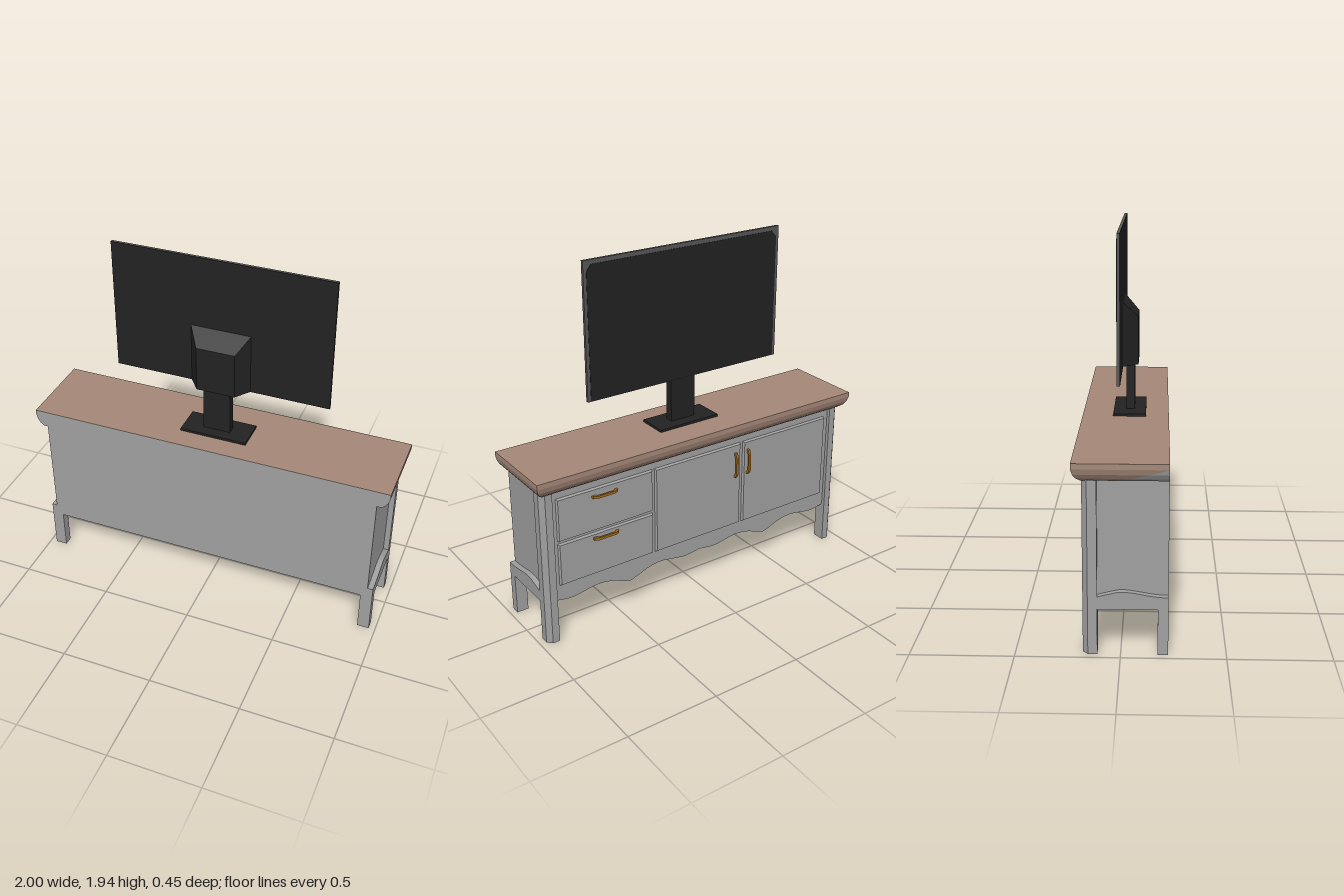
import * as THREE from 'three';

const mat = (name, color, side = THREE.FrontSide) => {
  const m = new THREE.MeshStandardMaterial({ color, side });
  m.name = name;
  return m;
};

export function createModel() {
  const root = new THREE.Group();
  const grey = mat('grey paint', 0xa0a0a0, THREE.DoubleSide);
  const wood = mat('brown wood', 0xa58878, THREE.DoubleSide);
  const black = mat('black plastic', 0x222222);
  const bezel = mat('bezel grey', 0x565656);
  const brass = mat('brass', 0xa56a14);

  const add = (name, geometry, material, parent = root) => {
    const m = new THREE.Mesh(geometry, material);
    m.name = name;
    parent.add(m);
    return m;
  };
  // Box given by its limits on each axis
  const box = (name, material, [x0, x1], [y0, y1], [z0, z1], parent = root) =>
    add(name, new THREE.BoxGeometry(x1 - x0, y1 - y0, z1 - z0)
      .translate((x0 + x1) / 2, (y0 + y1) / 2, (z0 + z1) / 2), material, parent);
  const extrude = (points, depth) => new THREE.ExtrudeGeometry(
    new THREE.Shape(points.map(([x, y]) => new THREE.Vector2(x, y))),
    { depth, bevelEnabled: false });
  const smooth = (points, n) => new THREE.SplineCurve(
    points.map(([x, y]) => new THREE.Vector2(x, y))).getPoints(n).map(p => [p.x, p.y]);
  const quads = list => {
    const pos = [];
    for (const [a, b, c, d] of list) pos.push(...a, ...b, ...c, ...a, ...c, ...d);
    const g = new THREE.BufferGeometry();
    g.setAttribute('position', new THREE.Float32BufferAttribute(pos, 3));
    g.computeVertexNormals();
    return g;
  };

  // Cabinet shell
  const cabinet = new THREE.Group();
  cabinet.name = 'cabinet';
  root.add(cabinet);
  box('backPanel', grey, [-0.935, 0.935], [0.23, 0.87], [0.21, 0.225], cabinet);
  box('frontFrame', grey, [-0.905, 0.905], [0.28, 0.87], [-0.16, -0.14], cabinet);

  const archTop = smooth([[0.225, 0.292], [0.16, 0.296], [0.02, 0.318], [-0.05, 0.308], [-0.11, 0.292]], 16);
  const sideApron = [[-0.11, 0.23], [0.225, 0.23], ...archTop];
  for (const s of [1, -1]) {
    const span = (a, b) => s > 0 ? [a, b] : [-b, -a];
    box('sidePanel', grey, span(0.92, 0.935), [0.23, 0.87], [-0.15, 0.225], cabinet);
    box('backLeg', grey, span(0.9, 0.965), [0, 0.292], [0.175, 0.225], cabinet);
    // Front post with a chamfered outer corner
    const post = [[0.965, 0.11], [0.965, 0.155], [0.94, 0.18], [0.9, 0.18], [0.9, 0.11]];
    add('frontPost', extrude(post.map(([x, y]) => [s * x, y]), 0.865).rotateX(-Math.PI / 2), grey, cabinet);
    add('sideApron', extrude(sideApron, 0.03).rotateY(-Math.PI / 2)
      .translate(s > 0 ? 0.965 : -0.935, 0, 0), grey, cabinet);
  }

  // Scalloped front apron, mirrored about the middle
  const half = [
    ...smooth([[0, 0.232], [0.04, 0.226], [0.1, 0.22], [0.17, 0.23], [0.25, 0.242], [0.33, 0.233], [0.4, 0.208], [0.45, 0.19]], 20),
    ...smooth([[0.45, 0.19], [0.5, 0.206], [0.57, 0.232], [0.65, 0.242], [0.73, 0.231], [0.8, 0.22], [0.86, 0.226], [0.905, 0.236]], 20).slice(1)];
  const scallop = [...half.slice(1).reverse().map(([x, y]) => [-x, y]), ...half, [0.905, 0.3], [-0.905, 0.3]];
  add('frontApron', extrude(scallop, 0.03).translate(0, 0, -0.16), grey, cabinet);

  // Drawer and door fronts: slab with a bevelled outer face
  const panel = (name, [x0, x1], [y0, y1]) => {
    const w = x1 - x0, h = y1 - y0;
    const g = new THREE.BoxGeometry(w, h, 0.014), p = g.attributes.position;
    for (let i = 0; i < p.count; i++) if (p.getZ(i) < 0) {
      p.setX(i, p.getX(i) * (1 - 0.016 / w));
      p.setY(i, p.getY(i) * (1 - 0.016 / h));
    }
    g.computeVertexNormals();
    add(name, g.translate((x0 + x1) / 2, (y0 + y1) / 2, -0.165), grey, cabinet);
  };
  panel('upperDrawer', [0.305, 0.875], [0.57, 0.815]);
  panel('lowerDrawer', [0.305, 0.875], [0.315, 0.56]);
  panel('middleDoor', [-0.27, 0.293], [0.315, 0.815]);
  panel('outerDoor', [-0.875, -0.285], [0.315, 0.815]);

  // Arched bar handles
  const bar = [[-0.075, 0], [-0.072, 0.012], [-0.05, 0.022], [0.05, 0.022], [0.072, 0.012], [0.075, 0],
    [0.06, 0], [0.045, 0.012], [-0.045, 0.012], [-0.06, 0]];
  const handle = (name, x, y, upright) => {
    const m = add(name, extrude(bar, 0.014).translate(0, 0, -0.007).rotateX(-Math.PI / 2), brass, cabinet);
    m.position.set(x, y, -0.172);
    if (upright) m.rotation.z = Math.PI / 2;
  };
  handle('drawerHandle', 0.6, 0.77);
  handle('drawerHandle', 0.6, 0.53);
  handle('doorHandle', -0.23, 0.69, true);
  handle('doorHandle', -0.315, 0.69, true);

  // Moulded top: [inset, height, depth where the end changes to grey]
  const levels = [[0, 0.955, 0.225], [0, 0.928, 0.225], [0.008, 0.9, 0.13], [0.022, 0.878, 0.05], [0.042, 0.862, -0.03]];
  const brownFaces = [], greyFaces = [], B = 0.225;
  for (let i = 0; i < levels.length - 1; i++) {
    const [d, y, z] = levels[i], [e, v, w] = levels[i + 1];
    const X = 1 - d, U = 1 - e, F = d - B, G = e - B;
    brownFaces.push([[X, y, F], [U, v, G], [-U, v, G], [-X, y, F]]);
    brownFaces.push([[X, y, z], [U, v, w], [U, v, G], [X, y, F]]);
    brownFaces.push([[-X, y, F], [-U, v, G], [-U, v, w], [-X, y, z]]);
    greyFaces.push([[X, y, B], [U, v, B], [U, v, w], [X, y, z]]);
    greyFaces.push([[-X, y, z], [-U, v, w], [-U, v, B], [-X, y, B]]);
    greyFaces.push([[-X, y, B], [-U, v, B], [U, v, B], [X, y, B]]);
  }
  brownFaces.push([[-1, 0.955, B], [1, 0.955, B], [1, 0.955, -B], [-1, 0.955, -B]]);
  const [inset, low] = levels[levels.length - 1], L = 1 - inset;
  greyFaces.push([[-L, low, inset - B], [L, low, inset - B], [L, low, B], [-L, low, B]]);
  add('tabletop', quads(brownFaces), wood);
  add('tabletopBack', quads(greyFaces), grey);

  // Monitor: stand, rear housing, frame and screen
  const monitor = new THREE.Group();
  monitor.name = 'monitor';
  root.add(monitor);
  box('standBase', black, [-0.185, 0.185], [0.955, 0.968], [-0.065, 0.105], monitor);
  box('standNeck', black, [-0.075, 0.075], [0.968, 1.3], [0, 0.045], monitor);
  const housing = new THREE.BoxGeometry(0.33, 0.335, 0.08).translate(0, 0.1675, 0.04);
  const hp = housing.attributes.position;
  for (let i = 0; i < hp.count; i++) if (hp.getZ(i) > 0.01) {
    hp.setX(i, hp.getX(i) * 0.64);
    hp.setY(i, hp.getY(i) * 0.75);
  }
  housing.computeVertexNormals();
  add('rearHousing', housing.translate(0, 1.215, -0.015), black, monitor);
  box('frame', bezel, [-0.595, 0.595], [1.215, 1.94], [-0.03, -0.017], monitor);
  box('rearCover', black, [-0.595, 0.595], [1.215, 1.94], [-0.017, -0.014], monitor);
  const screen = [[-0.578, 1.218], [0.578, 1.218], [0.578, 1.885], [0.55, 1.918], [-0.55, 1.918], [-0.578, 1.885]];
  add('screen', extrude(screen, 0.003).translate(0, 0, -0.032), black, monitor);

  return root;
}
